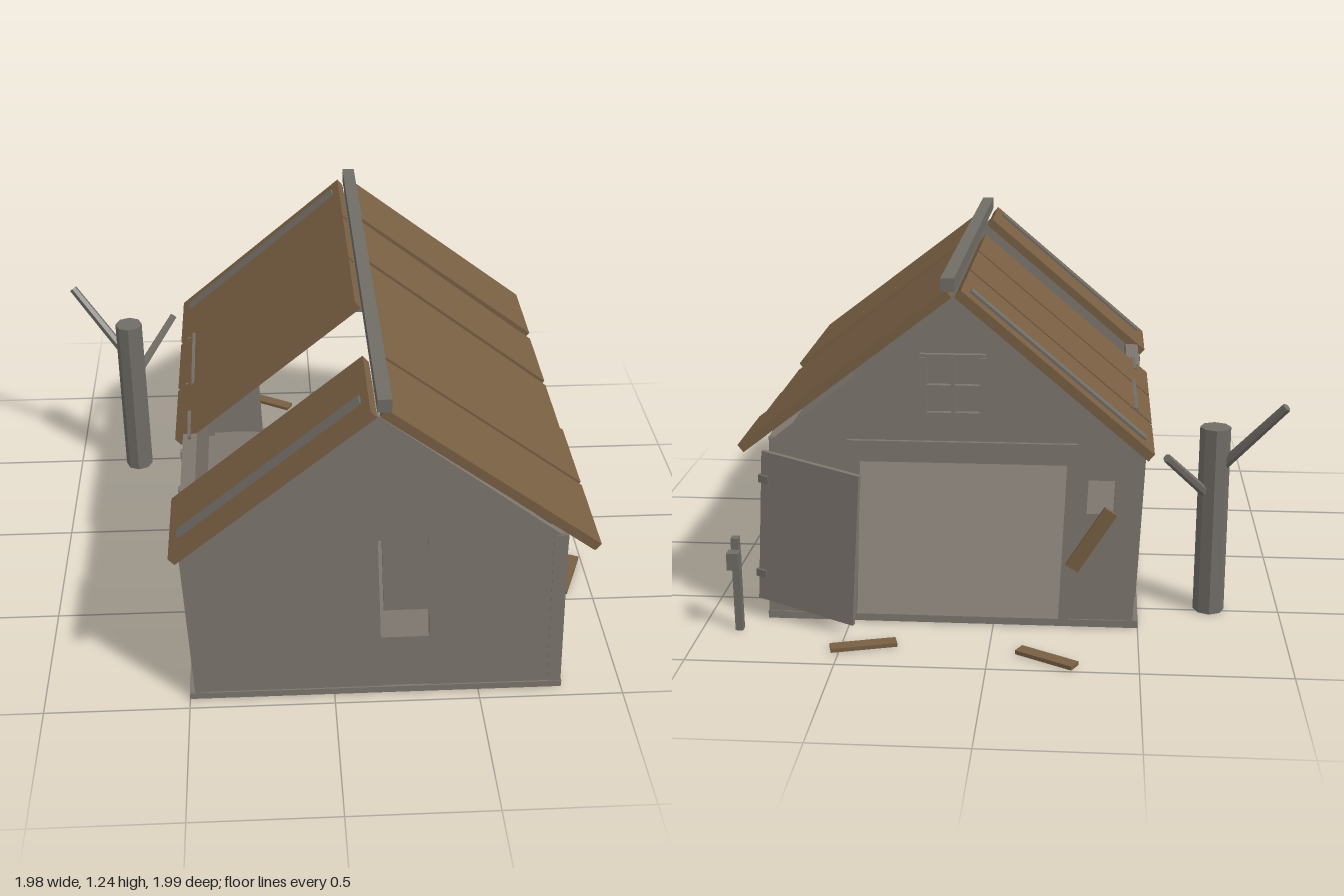
import * as THREE from 'three';

const mat = (name, color) => {
  const m = new THREE.MeshStandardMaterial({ color });
  m.name = name;
  return m;
};

export function createModel() {
  const root = new THREE.Group();
  root.name = 'ruinedBarn';
  const grey = mat('weatheredGrey', 0x7d766e);
  const dark = mat('agedTimber', 0x706c66);
  const brown = mat('rustBrown', 0x785f43);
  const V = (a) => new THREE.Vector3(...a);

  const add = (name, geo, m) => {
    const mesh = new THREE.Mesh(geo, m);
    mesh.name = name;
    root.add(mesh);
    return mesh;
  };
  // the whole frame leans towards -x as it rises
  const lean = (geo) => {
    const p = geo.attributes.position;
    for (let i = 0; i < p.count; i++) p.setX(i, p.getX(i) - 0.045 * (p.getY(i) - 0.03));
    geo.computeVertexNormals();
    return geo;
  };
  const box = (x0, x1, y0, y1, z0, z1) =>
    new THREE.BoxGeometry(x1 - x0, y1 - y0, z1 - z0).translate((x0 + x1) / 2, (y0 + y1) / 2, (z0 + z1) / 2);
  const board = (name, ...b) => add(name, lean(box(...b)), grey);
  // straight bar from a to b, width w and thickness t
  const bar = (name, a, b, w, t, m) => {
    const mesh = add(name, new THREE.BoxGeometry(w, t, V(a).distanceTo(V(b))), m);
    mesh.position.copy(V(a).add(V(b)).multiplyScalar(0.5));
    mesh.lookAt(V(b));
    return mesh;
  };

  // floor
  add('floor', box(-0.5, 0.79, 0.004, 0.03, -0.67, 0.96), grey);

  // front wall with one broken board
  board('frontPanel', -0.48, 0.165, 0.03, 0.67, 0.935, 0.955);
  board('frontPanel', 0.33, 0.785, 0.03, 0.67, 0.935, 0.955);
  board('frontBoard', 0.165, 0.33, 0.03, 0.25, 0.935, 0.952);
  board('frontBoard', 0.178, 0.33, 0.37, 0.67, 0.935, 0.952);

  // back wall around the doorway
  board('backPanel', 0.49, 0.785, 0.03, 0.67, -0.665, -0.645);
  board('backPanel', -0.3, -0.24, 0.03, 0.67, -0.665, -0.645);
  board('backPanel', -0.48, -0.39, 0.03, 0.67, -0.665, -0.645);
  board('backBoard', -0.39, -0.3, 0.03, 0.42, -0.665, -0.648);
  board('backBoard', -0.39, -0.3, 0.54, 0.67, -0.665, -0.648);
  board('lintel', -0.26, 0.52, 0.62, 0.67, -0.68, -0.64);
  for (const x of [-0.26, 0.48]) board('doorJamb', x, x + 0.035, 0.03, 0.64, -0.68, -0.64);

  // right wall with two broken boards
  for (const [z0, z1] of [[0.54, 0.955], [-0.19, 0.385], [-0.665, -0.3]])
    board('rightPanel', 0.765, 0.785, 0.03, 0.67, z0, z1);
  for (const [y0, y1, z0, z1] of [[0.03, 0.31, 0.385, 0.54], [0.42, 0.67, 0.385, 0.54],
    [0.03, 0.14, -0.3, -0.19], [0.49, 0.67, -0.3, -0.19]])
    board('rightBoard', 0.765, 0.782, y0, y1, z0, z1);

  // left wall
  board('leftPanel', -0.48, -0.46, 0.03, 0.67, -0.665, 0.955);

  // wall battens
  for (let i = 0; i < 7; i++) {
    const z = 0.82 - i * 0.224;
    board('leftBatten', -0.493, -0.48, 0.06, 0.64, z - 0.013, z + 0.013);
    if (i !== 5) board('rightBatten', 0.785, 0.798, 0.06, 0.64, z - 0.013, z + 0.013);
  }

  // corner posts and top plates
  for (const x of [-0.482, 0.74]) {
    for (const z of [-0.668, 0.911]) board('cornerPost', x, x + 0.047, 0.03, 0.67, z, z + 0.047);
    board('topPlate', x, x + 0.05, 0.625, 0.672, -0.66, 0.95);
  }

  // gables
  const tri = new THREE.Shape([[-0.51, 0.67], [0.74, 0.67], [0.11, 1.165]].map((p) => new THREE.Vector2(...p)));
  for (const z of [-0.667, 0.937])
    add('gable', new THREE.ExtrudeGeometry(tri, { depth: 0.02, bevelEnabled: false }).translate(0, 0, z), grey);

  // gable window frame
  for (const d of [-0.1, 0, 0.1]) {
    const h = d ? 0.012 : 0.007;
    add('windowBar', box(0.13 + d - h, 0.13 + d + h, 0.76, 0.965, -0.688, -0.667), grey);
    add('windowBar', box(0.02, 0.24, 0.863 + d - h, 0.863 + d + h, -0.686, -0.667), grey);
  }

  // roof panels, one missing on the -x side
  const rows = [0.83, 0.49, 0.15, -0.195, -0.54];
  const drop = [0, 0, -0.022, -0.018, -0.004];
  rows.forEach((z, i) => {
    bar('rightRoofPanel', [0.14, 1.183 + drop[i] / 3, z], [0.85, 0.643 + drop[i], z], 0.322, 0.032, brown);
    if (i !== 1) bar('leftRoofPanel', [0.11, 1.182, z], [-0.53, 0.637, z], 0.325, 0.032, brown);
  });
  add('ridgeBeam', box(0.12, 0.165, 1.19, 1.235, -0.71, 0.995), dark);
  for (const z of [-0.62, 0.9])
    bar('roofBatten', [0.075, 1.176, z], [-0.51, 0.678, z], 0.04, 0.014, dark);
  bar('looseStrip', [-0.487, 0.697, -0.36], [-0.482, 0.697, 0.02], 0.012, 0.012, dark);
  bar('looseStrip', [-0.49, 0.692, 0.2], [-0.487, 0.692, 0.37], 0.012, 0.012, dark);

  // sagging open door, spanned by its four corners
  const ht = V([0.78, 0.63, -0.68]), hb = V([0.82, 0.075, -0.655]);
  const ft = V([0.43, 0.585, -0.8]), fb = V([0.47, 0.04, -0.78]);
  const u = hb.clone().add(ht).sub(fb).sub(ft).multiplyScalar(0.5);
  const v = ht.clone().add(ft).sub(hb).sub(fb).multiplyScalar(0.5);
  const n = u.clone().cross(v).normalize();
  const c = ht.clone().add(hb).add(ft).add(fb).multiplyScalar(0.25);
  const place = new THREE.Matrix4().makeBasis(u, v, n).setPosition(c);
  add('door', new THREE.BoxGeometry(1, 1, 0.016).applyMatrix4(place), grey);
  for (const y of [-0.32, 0.32])
    add('doorHinge', new THREE.BoxGeometry(0.1, 0.05, 0.03).translate(0.47, y, 0).applyMatrix4(place), dark);

  // loose planks on the walls
  const hang = (a, b, w, t) => bar('hangingPlank', a, b, w, t, brown);
  hang([0.797, 0.4, -0.195], [0.803, 0.175, -0.3], 0.014, 0.045);
  hang([-0.508, 0.59, -0.05], [-0.512, 0.42, 0.09], 0.014, 0.05);
  hang([-0.27, 0.23, -0.688], [-0.4, 0.44, -0.688], 0.014, 0.05);

  // planks on the ground
  for (const [x0, z0, x1, z1] of [[-0.29, -0.975, -0.1, -0.87], [0.315, -0.84, 0.53, -0.9], [0.885, 0.465, 0.97, 0.26]])
    bar('groundPlank', [x0, 0.009, z0], [x1, 0.009, z1], 0.046, 0.014, brown);

  // dead tree
  const dead = (name, a, b, r0, r1, sides) => {
    const d = V(b).sub(V(a));
    const mesh = add(name, new THREE.CylinderGeometry(r1, r0, d.length(), sides).toNonIndexed(), dark);
    mesh.geometry.computeVertexNormals();
    mesh.position.copy(V(a)).addScaledVector(d, 0.5);
    mesh.quaternion.setFromUnitVectors(new THREE.Vector3(0, 1, 0), d.normalize());
  };
  dead('treeTrunk', [-0.755, 0, -0.48], [-0.755, 0.68, -0.48], 0.055, 0.053, 8);
  dead('treeBranch', [-0.755, 0.51, -0.48], [-0.978, 0.788, -0.592], 0.019, 0.016, 6);
  dead('treeBranch', [-0.75, 0.42, -0.48], [-0.583, 0.62, -0.648], 0.018, 0.015, 6);

  // broken fence post
  add('fencePost', box(0.858, 0.884, 0, 0.34, -0.77, -0.742), dark);
  add('fencePostBlock', box(0.85, 0.892, 0.24, 0.3, -0.808, -0.768), dark);

  return root;
}
